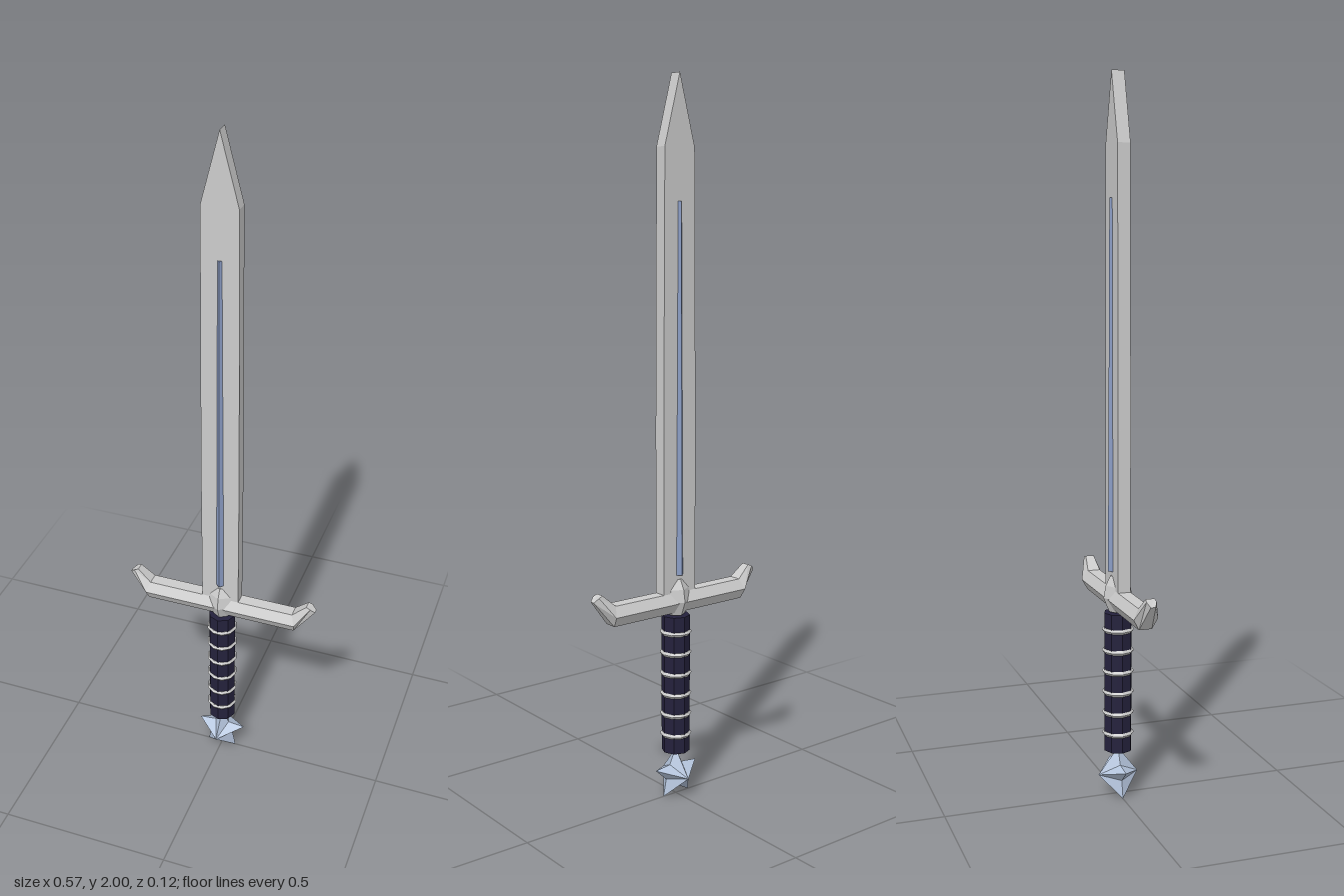
import * as THREE from 'three';

const mat = (color) => new THREE.MeshStandardMaterial({ color, flatShading: true });
const steel = mat(0xcccccc);
const blue = mat(0x8a9cc4);
const paleBlue = mat(0xb4c4dc);
const leather = mat(0x24213c);

function add(parent, name, geometry, material, y = 0) {
  const mesh = new THREE.Mesh(geometry, material);
  mesh.name = name;
  mesh.position.y = y;
  parent.add(mesh);
  return mesh;
}

function fromTriangles(points, faces) {
  const g = new THREE.BufferGeometry();
  g.setAttribute('position', new THREE.Float32BufferAttribute(points.flat(), 3));
  g.setIndex(faces.flat());
  const flat = g.toNonIndexed();
  flat.computeVertexNormals();
  return flat;
}

// Flat slab blade with a pointed end
function bladeGeometry() {
  const outline = [[-0.055, 0.58], [0.055, 0.58], [0.055, 1.05], [0.05, 1.81], [0, 2], [-0.05, 1.81], [-0.055, 1.05]];
  const shape = new THREE.Shape(outline.map(([x, y]) => new THREE.Vector2(x, y)));
  const g = new THREE.ExtrudeGeometry(shape, { depth: 0.036, bevelEnabled: false });
  return g.translate(0, 0, -0.018);
}

// Hexagonal crossguard: each section is [x, y, halfDepth] at its top, middle and bottom
function guardGeometry() {
  const arm = [[0.218, 0.6, 0.018], [0.228, 0.572, 0.034], [0.224, 0.543, 0.018]];
  const tip = [[0.258, 0.635, 0.012], [0.27, 0.63, 0.014], [0.283, 0.618, 0.007]];
  const ring = (section, side) => [
    ...section.map(([x, y, z]) => [side * x, y, z]),
    ...[...section].reverse().map(([x, y, z]) => [side * x, y, -z]),
  ];
  const points = [ring(tip, -1), ring(arm, -1), ring(arm, 1), ring(tip, 1)].flat();
  const faces = [];
  for (let i = 0; i < 3; i++) {
    for (let j = 0; j < 6; j++) {
      const a = i * 6 + j, b = i * 6 + (j + 1) % 6;
      faces.push([a, b, a + 6], [b, b + 6, a + 6]);
    }
  }
  for (let j = 1; j < 5; j++) faces.push([0, j + 1, j], [18, 18 + j, 19 + j]);
  return fromTriangles(points, faces);
}

// Five-pointed star with a raised centre on both faces
function starGeometry(outer, inner, depth) {
  const points = [];
  const faces = [];
  for (let i = 0; i < 10; i++) {
    const a = Math.PI / 2 + i * Math.PI / 5;
    const r = i % 2 ? inner : outer;
    points.push([Math.cos(a) * r, Math.sin(a) * r, 0]);
    const n = (i + 1) % 10;
    faces.push([i, n, 10], [n, i, 11]);
  }
  points.push([0, 0, depth], [0, 0, -depth]);
  return fromTriangles(points, faces);
}

export function createModel() {
  const sword = new THREE.Group();
  sword.name = 'sword';

  add(sword, 'blade', bladeGeometry(), steel);
  // Four-sided rod showing as a ridge on both faces of the blade
  add(sword, 'bladeRidge', new THREE.CylinderGeometry(0.024, 0.029, 1.02, 4), blue, 1.16);

  add(sword, 'crossguard', guardGeometry(), steel);
  const collar = [[0, 0.535], [0.026, 0.535], [0.042, 0.575], [0.036, 0.61], [0.022, 0.637], [0, 0.637]];
  add(sword, 'guardCollar', new THREE.LatheGeometry(collar.map(([r, y]) => new THREE.Vector2(r, y)), 6), steel);

  // Grip with evenly spaced bands
  add(sword, 'grip', new THREE.CylinderGeometry(0.04, 0.04, 0.4, 8), leather, 0.332);
  for (let i = 0; i < 6; i++) {
    const band = new THREE.TorusGeometry(0.038, 0.007, 5, 10).rotateX(Math.PI / 2);
    add(sword, 'gripBand', band, steel, 0.183 + i * 0.06);
  }

  add(sword, 'starPommel', starGeometry(0.075, 0.036, 0.058), paleBlue, 0.061);
  return sword;
}
